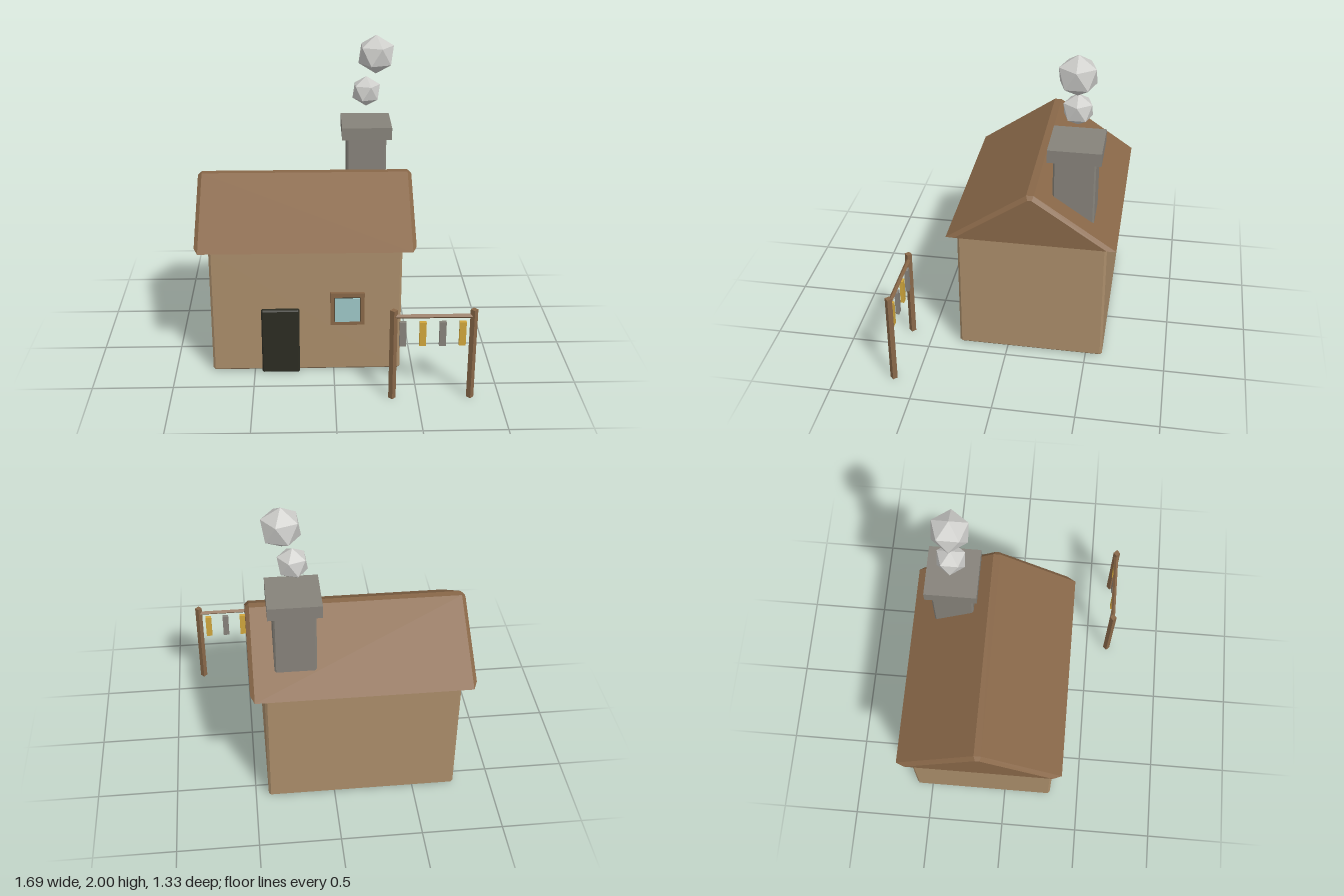
import * as THREE from 'three';
import { ConvexGeometry } from 'three/addons/geometries/ConvexGeometry.js';

const paint = (name, color) => {
  const m = new THREE.MeshStandardMaterial({ color });
  m.name = name;
  return m;
};

// Box given by its limits, with every edge chamfered by b
function chamferBox([x0, x1], [y0, y1], [z0, z1], b) {
  const points = [];
  const half = new THREE.Vector3(x1 - x0, y1 - y0, z1 - z0).multiplyScalar(0.5);
  const mid = new THREE.Vector3(x0 + x1, y0 + y1, z0 + z1).multiplyScalar(0.5);
  for (const sx of [-1, 1]) for (const sy of [-1, 1]) for (const sz of [-1, 1]) {
    for (const full of [0, 1, 2]) {
      const inset = [b, b, b];
      inset[full] = 0;
      points.push(new THREE.Vector3(
        mid.x + sx * (half.x - inset[0]),
        mid.y + sy * (half.y - inset[1]),
        mid.z + sz * (half.z - inset[2])));
    }
  }
  return new ConvexGeometry(points);
}

function box([x0, x1], [y0, y1], [z0, z1]) {
  return new THREE.BoxGeometry(x1 - x0, y1 - y0, z1 - z0)
    .translate((x0 + x1) / 2, (y0 + y1) / 2, (z0 + z1) / 2);
}

// Gabled prism whose ends taper to a slightly smaller profile
function roofGeometry() {
  const outer = [[0.365, 0.843], [-0.125, 1.18], [-0.17, 1.18], [-0.665, 0.843]];
  const inner = [[0.31, 0.857], [-0.135, 1.16], [-0.16, 1.16], [-0.61, 0.857]];
  const points = [];
  const ring = (x, profile) => profile.forEach(([z, y]) => points.push(new THREE.Vector3(x, y, z)));
  ring(-0.85, inner);
  ring(-0.825, outer);
  ring(0.48, outer);
  ring(0.505, inner);
  return new ConvexGeometry(points);
}

export function createModel() {
  const group = new THREE.Group();
  const plaster = paint('plaster', 0xaa8d6a);
  const wood = paint('brown wood', 0x886748);
  const stone = paint('grey stone', 0x86827a);
  const dark = paint('dark door', 0x2c2c22);
  const glass = paint('pale glass', 0x9dc6c6);
  const yellow = paint('yellow cloth', 0xcfa53c);
  const smoke = paint('smoke grey', 0xcdcdca);

  const add = (name, geometry, material) => {
    const mesh = new THREE.Mesh(geometry, material);
    mesh.name = name;
    group.add(mesh);
    return mesh;
  };

  // House body and roof
  add('walls', chamferBox([-0.765, 0.42], [0.003, 0.842], [-0.605, 0.31], 0.014), plaster);
  add('roof', roofGeometry(), wood);

  // Door and window
  add('door', chamferBox([-0.452, -0.215], [0.002, 0.441], [0.28, 0.341], 0.008), dark);
  add('windowFrame', box([-0.022, 0.191], [0.332, 0.552], [0.29, 0.33]), wood);
  add('windowGlass', box([0.008, 0.162], [0.36, 0.52], [0.3325, 0.341]), glass);
  add('windowPaneBack', box([0.005, 0.165], [0.357, 0.523], [0.325, 0.3325]), dark);

  // Chimney, its cap and the soot patch under its base
  add('chimney', chamferBox([0.1, 0.352], [0.003, 1.36], [-0.515, -0.262], 0.01), stone);
  add('chimneyCap', box([0.067, 0.385], [1.355, 1.436], [-0.548, -0.23]), stone);
  add('chimneyBase', box([0.11, 0.34], [0, 0.006], [-0.505, -0.275]), dark);

  // Smoke puffs, each with a corner pointing up
  for (const [x, y, r] of [[0.225, 1.635, 0.098], [0.285, 1.875, 0.125]]) {
    const puff = add('smokePuff', new THREE.IcosahedronGeometry(r, 0), smoke);
    puff.position.set(x, y, -0.388);
    puff.rotation.z = -Math.atan(2 / (1 + Math.sqrt(5)));
  }

  // Drying line: square posts and bar set on edge
  const lineZ = 0.643;
  for (const x of [0.346, 0.822]) {
    const post = add('linePost', new THREE.BoxGeometry(0.032, 0.6, 0.032), wood);
    post.position.set(x, 0.3, lineZ);
    post.rotation.y = Math.PI / 4;
  }
  const bar = add('lineBar', new THREE.BoxGeometry(0.476, 0.02, 0.02), wood);
  bar.position.set(0.584, 0.558, lineZ);
  bar.rotation.x = Math.PI / 4;

  // Hanging strips in alternating colours
  for (let i = 0; i < 4; i++) {
    const strip = add('hangingStrip', new THREE.BoxGeometry(0.04, 0.158, 0.022), i % 2 ? yellow : stone);
    strip.position.set(0.402 + i * 0.119, 0.441, lineZ);
  }

  return group;
}
